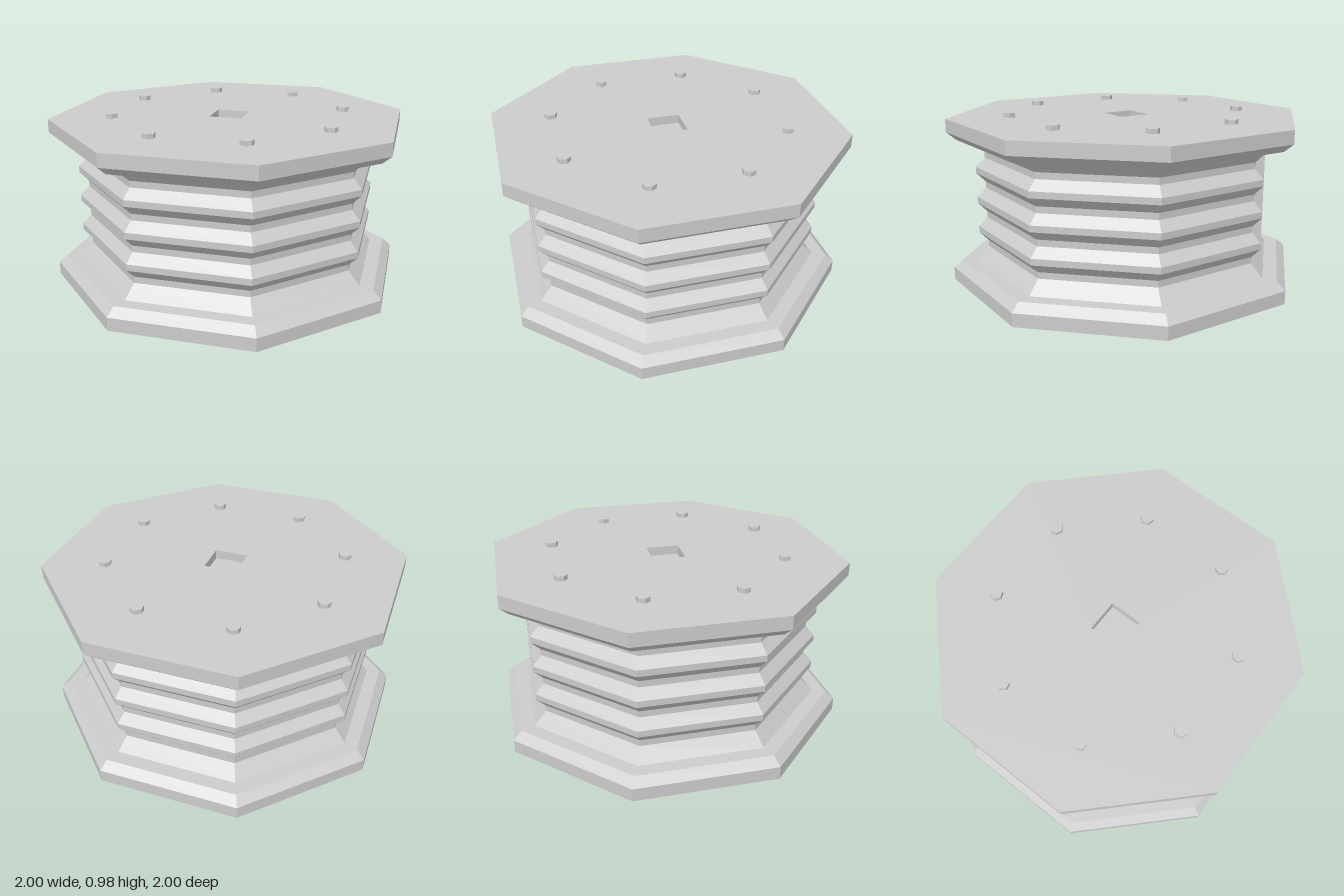
import * as THREE from 'three';

const BOTTOM = 0.025, TOP = 0.95, MID = (BOTTOM + TOP) / 2;
const POCKET_R = 0.128, POCKET_DEPTH = 0.05;

function ring(sides, radius, startAngle) {
  return Array.from({ length: sides }, (_, i) => {
    const a = startAngle + (i / sides) * Math.PI * 2;
    return new THREE.Vector2(Math.cos(a) * radius, Math.sin(a) * radius);
  });
}

export function createModel() {
  const group = new THREE.Group();
  const material = new THREE.MeshStandardMaterial({ color: 0xcccccc, flatShading: true });
  const inner = material.clone();
  inner.side = THREE.DoubleSide;

  const add = (name, geometry, mat = material, parent = group) => {
    const mesh = new THREE.Mesh(geometry, mat);
    mesh.name = name;
    parent.add(mesh);
    return mesh;
  };

  // Octagonal body: lower half profile, mirrored about mid height
  const lower = [
    [1, BOTTOM], [1, 0.098], [0.95, 0.141], [0.87, 0.141], [0.8, 0.212], [0.8, 0.247],
    [0.85, 0.298], [0.85, 0.333], [0.8, 0.384], [0.8, 0.419], [0.85, 0.47],
  ];
  const upper = lower.map(([r, y]) => [r, 2 * MID - y]).reverse();
  const profile = [[0, BOTTOM], ...lower, ...upper].map(([r, y]) => new THREE.Vector2(r, y));
  add('ribbedBody', new THREE.LatheGeometry(profile, 8));

  // Top plate with a square opening
  const plate = new THREE.Shape(ring(8, 1, 0));
  plate.holes.push(new THREE.Path(ring(4, POCKET_R, -Math.PI / 8)));
  add('topPlate', new THREE.ShapeGeometry(plate).rotateX(-Math.PI / 2)).position.y = TOP;

  // Shallow square pocket below the opening
  const walls = new THREE.CylinderGeometry(POCKET_R, POCKET_R, POCKET_DEPTH, 4, 1, true, -Math.PI / 8);
  add('pocketWalls', walls, inner).position.y = TOP - POCKET_DEPTH / 2;
  const floor = new THREE.ShapeGeometry(new THREE.Shape(ring(4, POCKET_R, -Math.PI / 8)));
  add('pocketFloor', floor.rotateX(-Math.PI / 2), inner).position.y = TOP - POCKET_DEPTH;

  // Hexagonal bolt heads on both plates
  const bolt = new THREE.CylinderGeometry(0.036, 0.036, 0.05, 6);
  for (let i = 0; i < 8; i++) {
    const pivot = new THREE.Group();
    pivot.name = 'boltPair';
    pivot.rotation.y = (i * Math.PI) / 4;
    add('topBolt', bolt, material, pivot).position.set(0.655, TOP, 0);
    add('bottomBolt', bolt, material, pivot).position.set(0.655, BOTTOM, 0);
    group.add(pivot);
  }
  return group;
}
